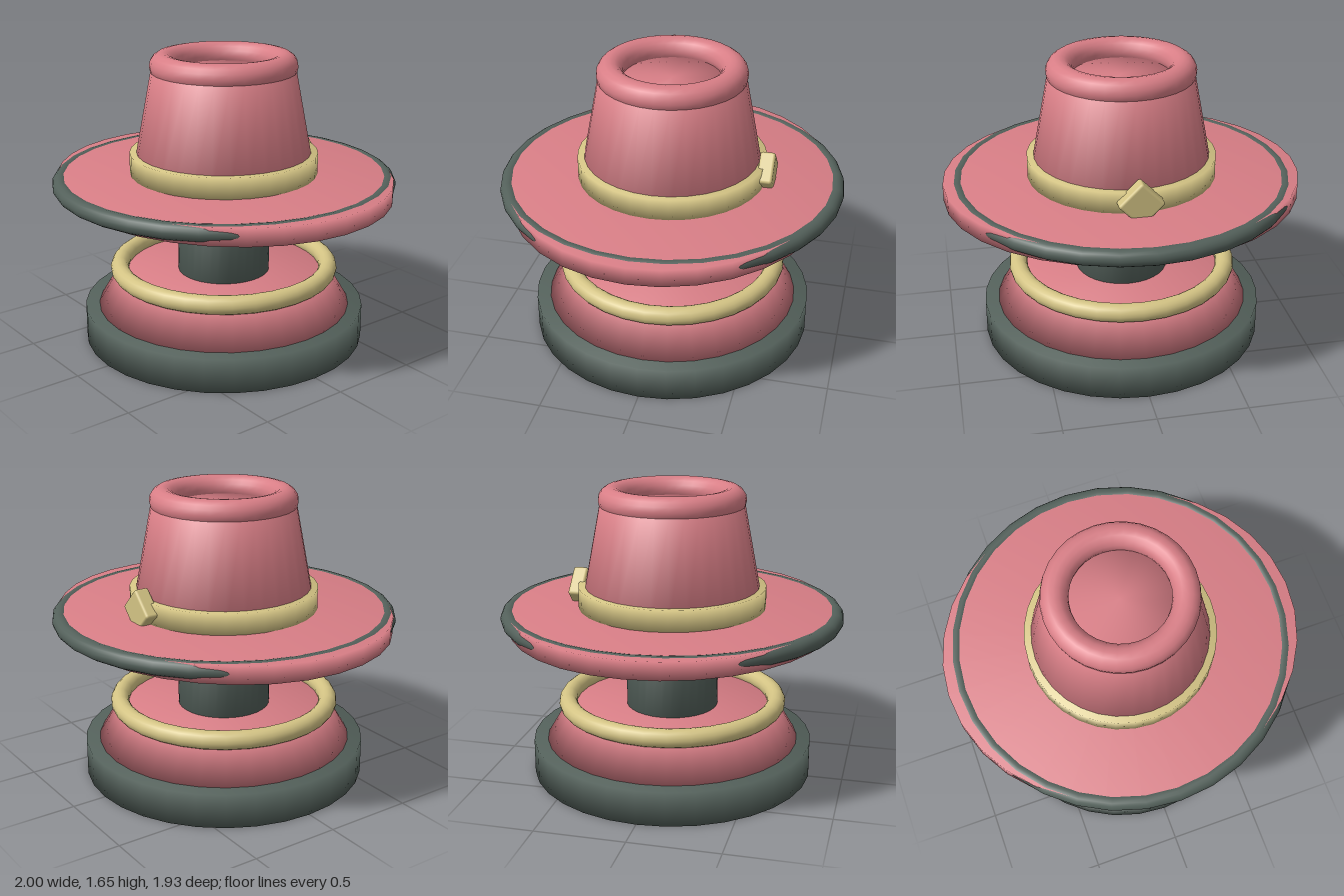
import * as THREE from 'three';
import { mergeVertices } from 'three/addons/utils/BufferGeometryUtils.js';
import { RoundedBoxGeometry } from 'three/addons/geometries/RoundedBoxGeometry.js';

const SIDES = 32;

export function createModel() {
  const model = new THREE.Group();
  model.name = 'hatOnStand';

  const paint = (name, color) => {
    const material = new THREE.MeshStandardMaterial({ color });
    material.name = name;
    return material;
  };
  const pink = paint('rosePink', 0xd87e86);
  const gold = paint('paleGold', 0xd3c384);
  const slate = paint('slateGreen', 0x53605a);

  const add = (name, geometry, material) => {
    const mesh = new THREE.Mesh(geometry, material);
    mesh.name = name;
    model.add(mesh);
    return mesh;
  };

  // Round solid from y0 to y1, shaded softly across its rims
  const drum = (name, material, rBottom, rTop, y0, y1) => {
    let g = new THREE.CylinderGeometry(rTop, rBottom, y1 - y0, SIDES);
    g.translate(0, (y0 + y1) / 2, 0);
    g.deleteAttribute('normal');
    g.deleteAttribute('uv');
    g = mergeVertices(g, 1e-4);
    g.computeVertexNormals();
    return add(name, g, material);
  };

  // Horizontal ring
  const ring = (name, material, radius, tube, y) => {
    const g = new THREE.TorusGeometry(radius, tube, 16, SIDES);
    g.rotateX(Math.PI / 2);
    g.translate(0, y, 0);
    return add(name, g, material);
  };

  // Stand
  drum('base', slate, 0.806, 0.806, 0, 0.195);
  drum('baseCone', pink, 0.727, 0.61, 0.195, 0.39);
  ring('baseRing', gold, 0.603, 0.052, 0.413);
  drum('post', slate, 0.263, 0.263, 0.38, 0.868);

  // Oval brim with a round trim that passes in and out of its edge
  drum('brim', pink, 1, 1, 0.88, 0.977).scale.z = 0.905;
  ring('brimTrim', slate, 0.92, 0.046, 0.935);

  // Crown
  drum('crown', pink, 0.515, 0.403, 0.97, 1.555);
  ring('crownLip', pink, 0.337, 0.074, 1.581);
  drum('hatBand', gold, 0.53, 0.53, 0.97, 1.095);

  // Diamond buckle at the back of the band
  const buckle = add('buckle', new RoundedBoxGeometry(0.18, 0.18, 0.085, 2, 0.015), gold);
  buckle.position.set(0, 1.04, -0.538);
  buckle.rotation.z = Math.PI / 4;

  return model;
}
